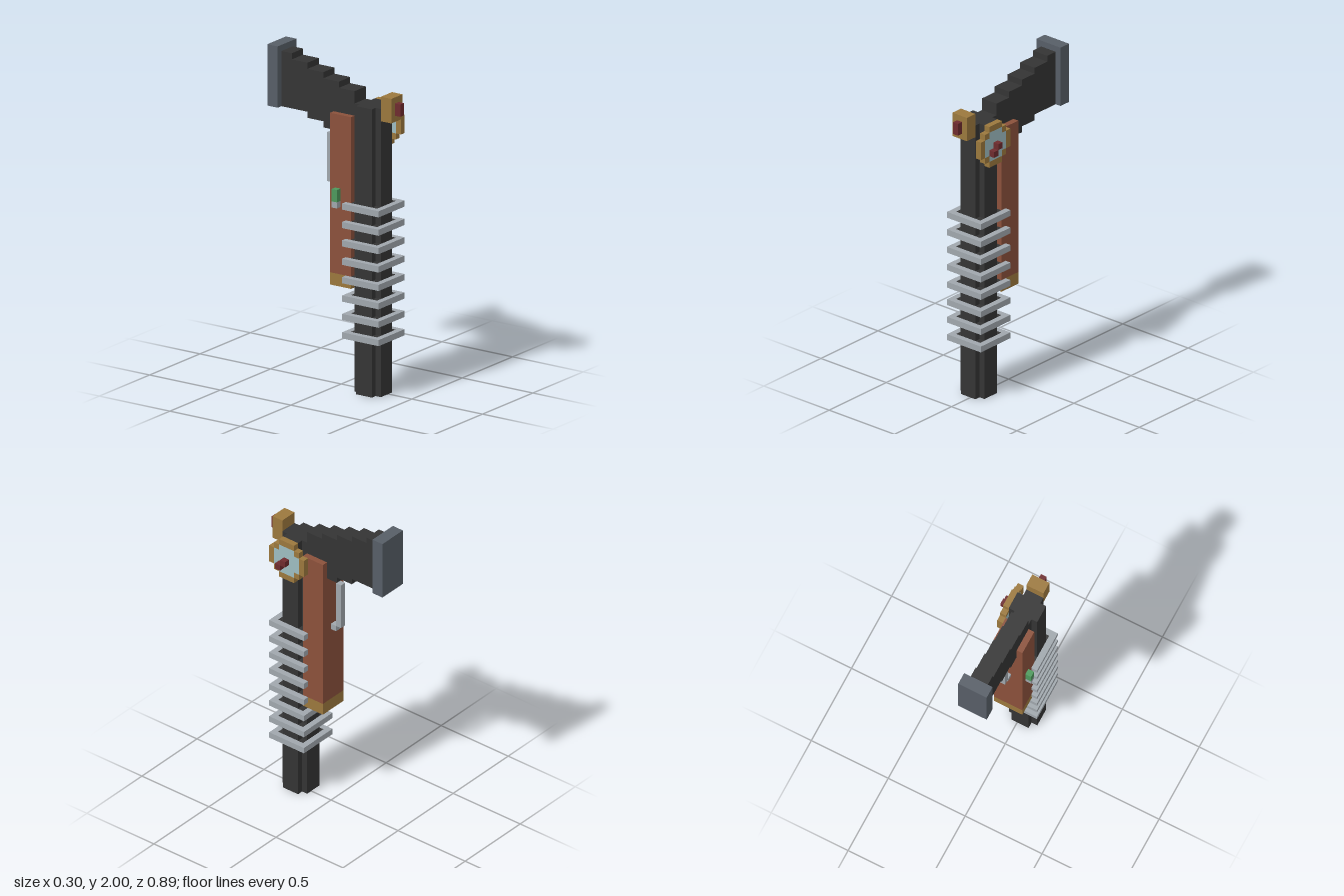
import * as THREE from 'three';

const U = 1 / 27; // one block

const mat = (name, color) => Object.assign(new THREE.MeshStandardMaterial({ color }), { name });

// Symmetric stepped outline: one side inset per row of blocks
function stepped(insets, Type = THREE.Shape) {
  const h = insets.length / 2;
  const right = [];
  insets.forEach((inset, i) => {
    right.push([h - inset, i - h], [h - inset, i + 1 - h]);
  });
  const left = right.map(([x, y]) => [-x, y]).reverse();
  const points = [...right, ...left].filter(
    ([x, y], i, all) => i === 0 || x !== all[i - 1][0] || y !== all[i - 1][1]);
  return new Type(points.map(([x, y]) => new THREE.Vector2(x, y)));
}

const extrude = (shape, depth) => new THREE.ExtrudeGeometry(shape, { depth, bevelEnabled: false });

export function createModel() {
  const model = new THREE.Group();
  model.name = 'blockGun';
  model.scale.setScalar(U);

  const iron = mat('black iron', 0x343434);
  const wood = mat('reddish wood', 0x8b513b);
  const brass = mat('brass', 0x9b783d);
  const steel = mat('pale steel', 0xa0a7ad);
  const slate = mat('slate', 0x575e67);
  const red = mat('dark red', 0x6e2b2e);
  const glass = mat('dial glass', 0x9dbcc0);
  const green = mat('green', 0x4d995c);

  const add = (name, geometry, material, x = 0, y = 0, z = 0) => {
    const mesh = new THREE.Mesh(geometry, material);
    mesh.name = name;
    mesh.position.set(x, y, z);
    model.add(mesh);
    return mesh;
  };

  // Box given by its extents, in blocks
  const box = (name, material, [x0, x1], [y0, y1], [z0, z1]) =>
    add(name, new THREE.BoxGeometry(x1 - x0, y1 - y0, z1 - z0), material,
      (x0 + x1) / 2, (y0 + y1) / 2, (z0 + z1) / 2);

  // Barrel with notched corners
  const barrel = extrude(stepped([1, 0, 0, 0, 1]), 47).rotateX(-Math.PI / 2);
  add('barrel', barrel, iron, -0.5, 0, 6.5);

  // Cooling fins: square rings, each around an iron collar
  const ring = stepped(Array(7).fill(0));
  ring.holes.push(stepped(Array(5).fill(0), THREE.Path));
  const fin = extrude(ring, 1).rotateX(-Math.PI / 2);
  for (let i = 0; i < 8; i++) {
    const y = 9 + i * 3;
    add('coolingFin', fin, steel, -0.5, y, 6.5);
    box('finCollar', iron, [-3, 2], [y, y + 1], [4, 9]);
  }

  // Wooden body with brass foot
  box('woodenBody', wood, [-3, 2], [19, 45], [0, 4]);
  box('bodyFoot', brass, [-3, 2], [17, 19], [0, 4]);

  // Stepped stock: [z0, z1, bottom, top]
  [[1, 4, 45, 49], [0, 1, 45, 50], [-2, 0, 42, 50], [-5, -2, 43, 51],
    [-8, -5, 44, 52], [-10, -8, 44, 53]].forEach(([z0, z1, y0, y1]) =>
    box('stockStep', iron, [-2, 1], [y0, y1], [z0, z1]));
  box('buttPlate', slate, [-3, 2], [44, 54], [-12, -10]);

  // Front sight block
  box('sightBlock', brass, [-2, 1], [45, 49], [9, 11]);
  box('sightBead', red, [-1, 0], [46, 48], [11, 12]);

  // Side dial with glass and needle
  const rim = stepped([2, 1, 0, 0, 0, 1, 2]);
  rim.holes.push(stepped([1, 0, 0, 0, 1], THREE.Path));
  add('dialRim', extrude(rim, 1).rotateY(Math.PI / 2), brass, 2, 43.5, 6.5);
  add('dialGlass', extrude(stepped([1, 0, 0, 0, 1]), 1).rotateY(Math.PI / 2), glass, 2, 43.5, 6.5);
  box('dialNeedle', red, [3, 4], [43, 44], [6, 7]);
  box('dialNeedle', red, [3, 4], [42, 43], [7, 8]);

  // Trigger lever and its pivot
  box('triggerLever', steel, [-1, 0], [33, 41], [-2, -1]);
  box('triggerPivot', steel, [-1, 0], [32, 33], [-1, 0]);

  // Side switch
  box('switchLamp', green, [-4, -3], [31, 33], [1, 2]);
  box('switchBase', steel, [-4, -3], [30, 31], [1, 2]);

  return model;
}
